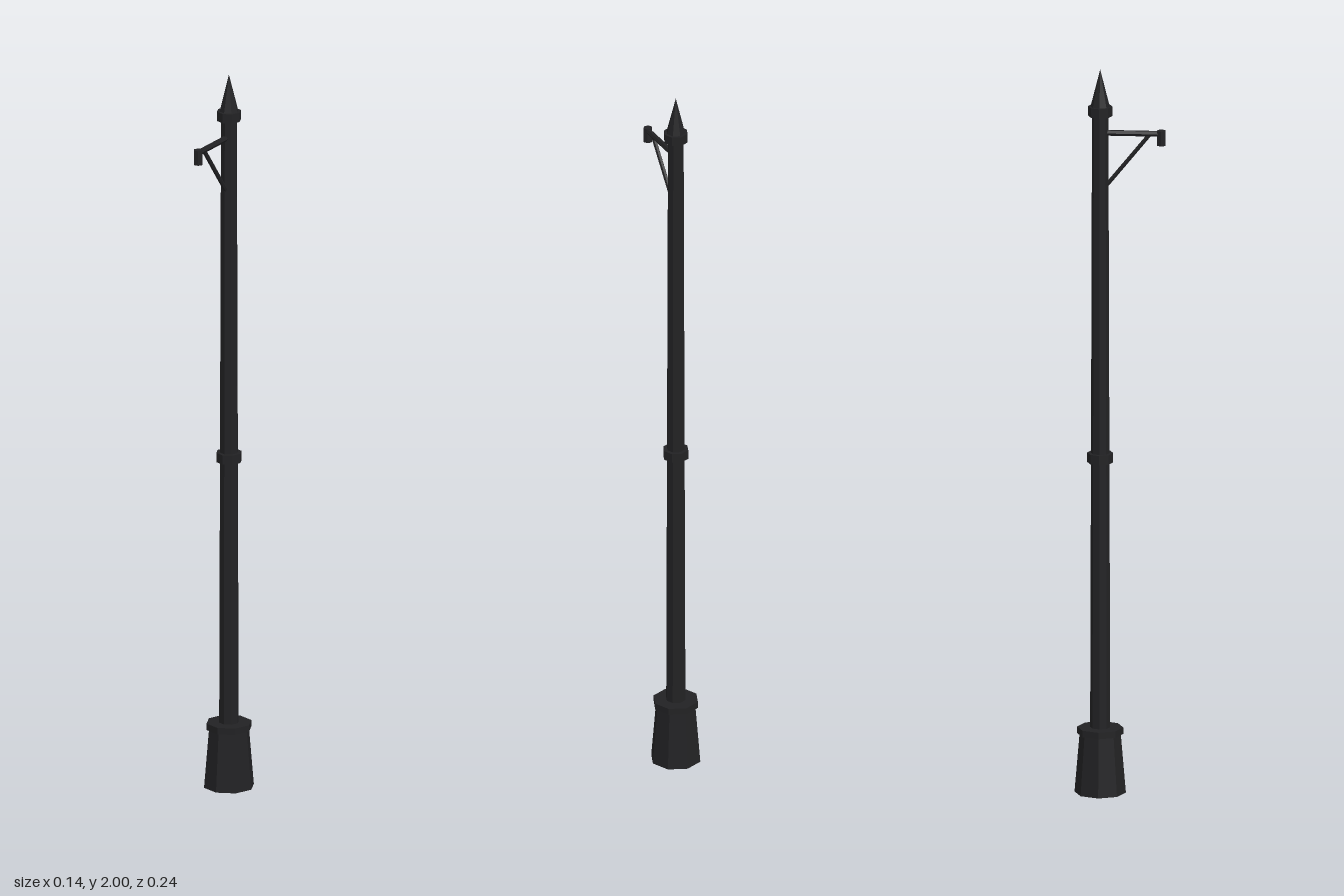
import * as THREE from 'three';

export function createModel() {
  const model = new THREE.Group();
  model.name = 'lampPost';
  const iron = new THREE.MeshStandardMaterial({ color: 0x222224, flatShading: true });
  const axisZ = -0.053;

  const add = (name, geometry, parent = model) => {
    const mesh = new THREE.Mesh(geometry, iron);
    mesh.name = name;
    parent.add(mesh);
    return mesh;
  };

  // Octagonal sections stacked on the post axis
  const post = new THREE.Group();
  post.name = 'post';
  post.position.z = axisZ;
  model.add(post);
  const sections = [
    // name, bottom y, top y, bottom radius, top radius
    ['base', 0, 0.165, 0.069, 0.055],
    ['baseCollar', 0.162, 0.18, 0.062, 0.062],
    ['shaft', 0.17, 1.885, 0.027, 0.022],
    ['middleRing', 0.913, 0.939, 0.035, 0.035],
    ['topRing', 1.872, 1.898, 0.033, 0.033],
    ['finial', 1.897, 2, 0.026, 0],
  ];
  for (const [name, y0, y1, r0, r1] of sections) {
    const mesh = add(name, new THREE.CylinderGeometry(r1, r0, y1 - y0, 8), post);
    mesh.position.y = (y0 + y1) / 2;
  }

  // Six-sided bar between two points in the x = 0 plane
  const bar = (name, [y0, z0], [y1, z1], radius) => {
    const a = new THREE.Vector3(0, y0, z0);
    const b = new THREE.Vector3(0, y1, z1);
    const geometry = new THREE.CylinderGeometry(radius, radius, a.distanceTo(b), 6);
    geometry.rotateY(Math.PI / 6);
    const mesh = add(name, geometry);
    mesh.position.copy(a).add(b).multiplyScalar(0.5);
    mesh.rotation.x = Math.atan2(z1 - z0, y1 - y0);
  };

  // Bracket reaching forward near the top
  bar('bracketArm', [1.825, axisZ], [1.825, 0.112], 0.008);
  bar('bracketBrace', [1.675, -0.04], [1.823, 0.08], 0.006);
  bar('bracketTip', [1.793, 0.111], [1.834, 0.111], 0.0125);

  return model;
}
